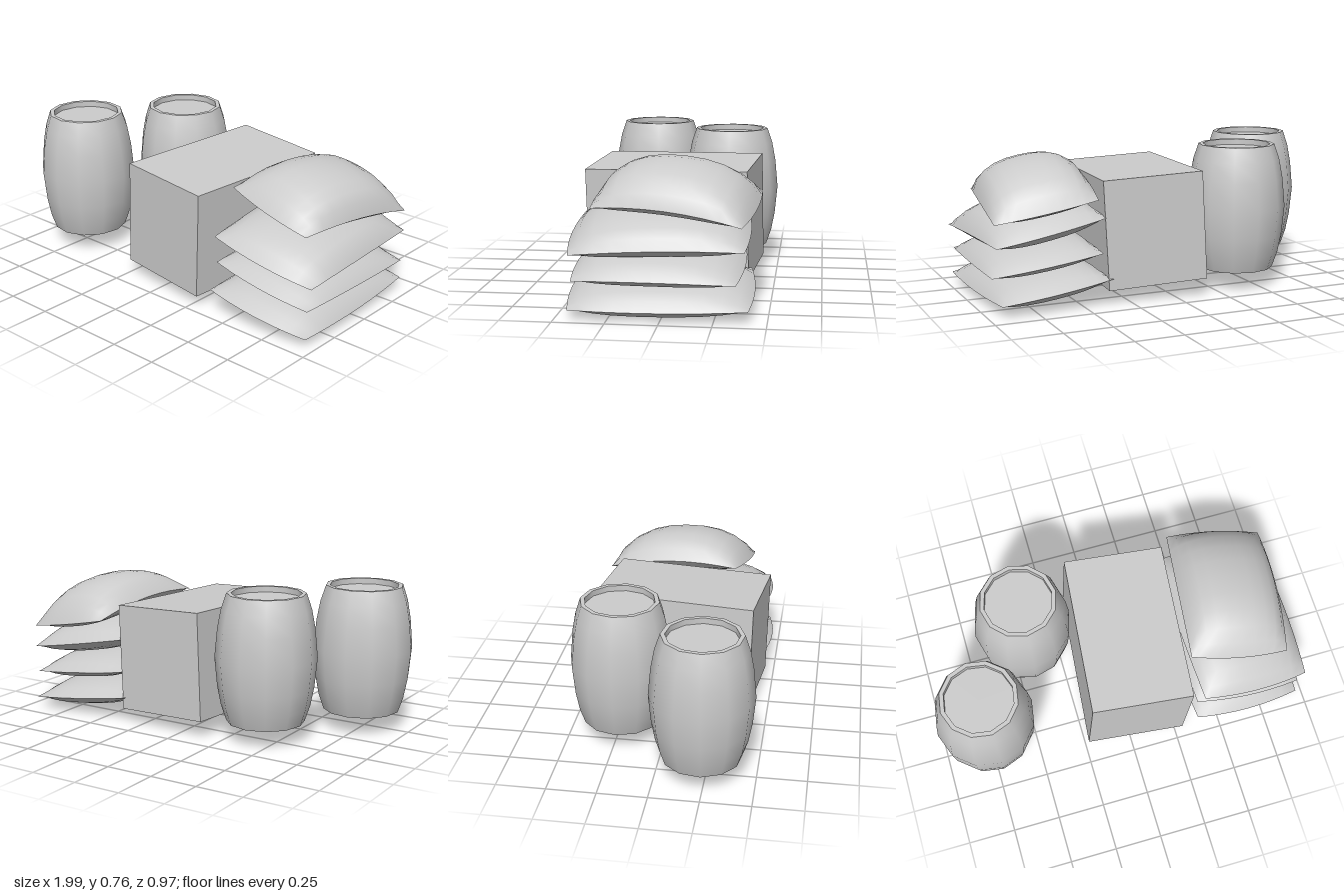
import * as THREE from 'three';

const material = new THREE.MeshStandardMaterial({ color: 0xcccccc });

function addMesh(parent, geometry, name) {
  const mesh = new THREE.Mesh(geometry, material);
  mesh.name = name;
  parent.add(mesh);
  return mesh;
}

// Twelve-sided barrel; each lathe strip keeps its own normals so the rims stay crisp
function makeBarrel(name, x, y, z, turn) {
  const barrel = new THREE.Group();
  barrel.name = name;
  const H = 0.66, R = 0.2, inner = 0.178, dip = 0.03;
  const strips = {
    bottomLid: [[0, dip], [inner, dip]],
    bottomRimInside: [[inner, dip], [inner, 0]],
    bottomRim: [[inner, 0], [R, 0]],
    staves: [[R, 0], [0.227, 0.08], [0.246, 0.18], [0.26, 0.33], [0.246, 0.48], [0.227, 0.58], [R, H]],
    topRim: [[R, H], [inner, H]],
    topRimInside: [[inner, H], [inner, H - dip]],
    topLid: [[inner, H - dip], [0, H - dip]],
  };
  for (const [part, profile] of Object.entries(strips)) {
    const points = profile.map(([r, h]) => new THREE.Vector2(r, h));
    addMesh(barrel, new THREE.LatheGeometry(points, 12), part);
  }
  barrel.position.set(x, y, z);
  barrel.rotation.y = turn;
  return barrel;
}

// Stuffed sack: an upper and a lower sheet that meet in a sharp seam
function makeSack({ name, pos, rot, half, top, bottom, sag }) {
  const sack = new THREE.Group();
  sack.name = name;
  for (const side of [1, -1]) {
    const sheet = new THREE.PlaneGeometry(2, 2, 10, 10);
    sheet.rotateX(-side * Math.PI / 2);
    const p = sheet.attributes.position;
    for (let i = 0; i < p.count; i++) {
      // crowd the rows towards the seam
      const u = Math.sin(p.getX(i) * Math.PI / 2) * 0.5 + p.getX(i) * 0.5;
      const v = Math.sin(p.getZ(i) * Math.PI / 2) * 0.5 + p.getZ(i) * 0.5;
      const fill = Math.max(0, (1 - Math.abs(u) ** 2.6) * (1 - Math.abs(v) ** 2.8)) ** 0.65;
      p.setXYZ(i,
        half[0] * u * (1 - 0.05 * v * v),
        side * fill * (side > 0 ? top : bottom) - sag * v * v,
        half[1] * v * (1 - 0.06 * u * u));
    }
    sheet.computeVertexNormals();
    addMesh(sack, sheet, side > 0 ? 'upperSheet' : 'lowerSheet');
  }
  sack.position.set(...pos);
  sack.rotation.set(...rot, 'YXZ');
  return sack;
}

export function createModel() {
  const model = new THREE.Group();
  model.name = 'cargo';

  // Barrels
  model.add(makeBarrel('frontBarrel', -0.74, 0.1, 0.225, 0.1));
  model.add(makeBarrel('backBarrel', -0.42, 0.098, -0.23, 0));

  // Slightly tipped crate
  const crate = addMesh(model, new THREE.BoxGeometry(0.525, 0.56, 0.84), 'crate');
  crate.position.set(0.08, 0.357, 0.02);
  crate.rotation.set(0.014, -0.095, -0.047, 'YXZ');

  // Stack of sacks, bottom to top
  const sacks = [
    { name: 'bottomSack', pos: [0.655, 0.087, 0.02], rot: [0.01, 0.03, -0.13], half: [0.31, 0.45], top: 0.1, bottom: 0.075, sag: -0.005 },
    { name: 'lowerMiddleSack', pos: [0.675, 0.235, 0.025], rot: [0.0, -0.02, -0.13], half: [0.305, 0.41], top: 0.09, bottom: 0.07, sag: 0.01 },
    { name: 'upperMiddleSack', pos: [0.68, 0.4, 0.025], rot: [0.03, 0.03, -0.18], half: [0.31, 0.435], top: 0.115, bottom: 0.09, sag: 0.02 },
    { name: 'topSack', pos: [0.67, 0.575, -0.06], rot: [-0.09, -0.12, -0.19], half: [0.275, 0.385], top: 0.15, bottom: 0.07, sag: 0.04 },
  ];
  for (const sack of sacks) model.add(makeSack(sack));

  return model;
}
